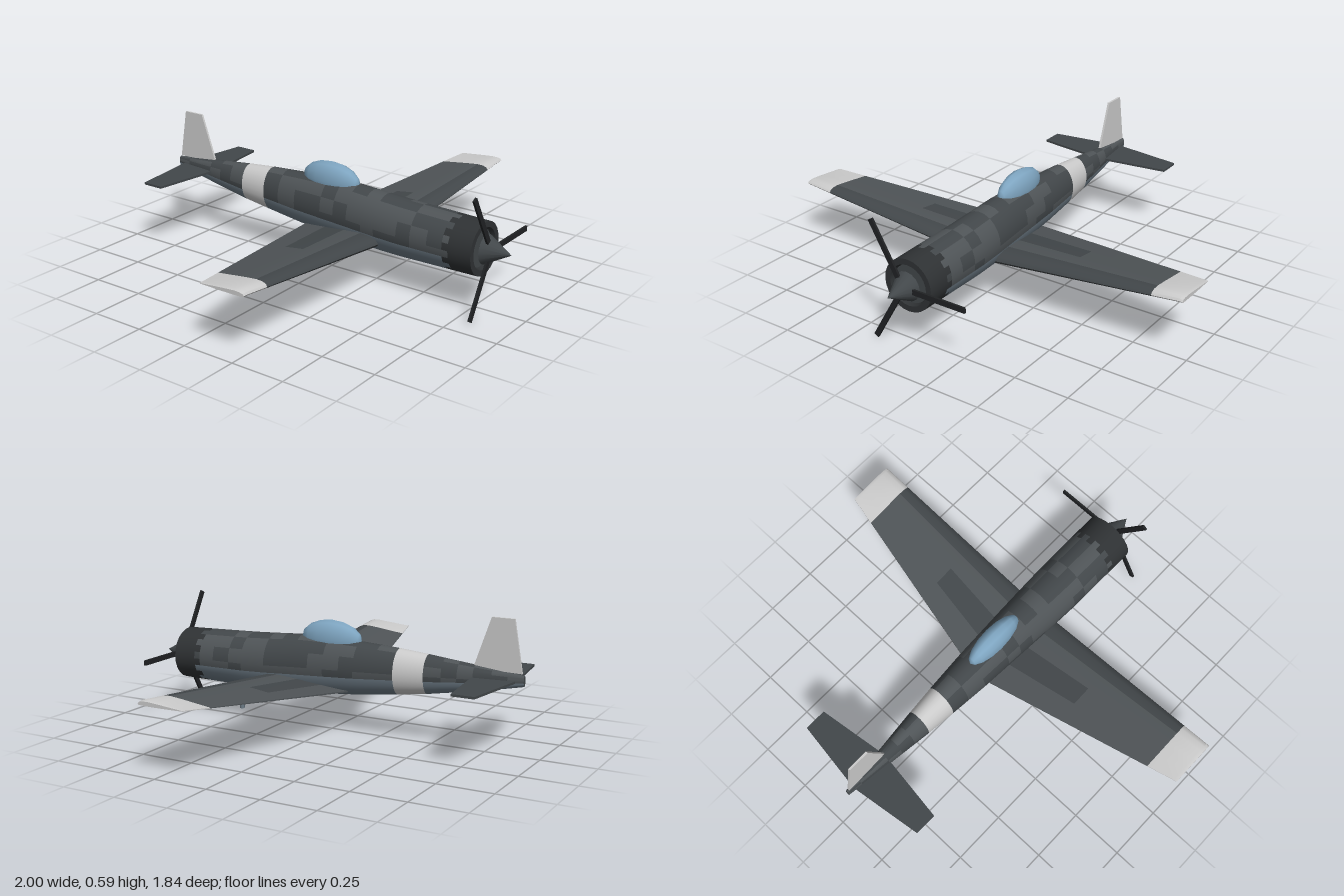
import * as THREE from 'three';
import { toCreasedNormals } from 'three/addons/utils/BufferGeometryUtils.js';

const COLORS = {
  dark: 0x42474a, mid: 0x4f5457, cowl: 0x2f3234, belly: 0x6d7b86,
  light: 0xc9c8c5, glass: 0x7fa6c2, black: 0x202224,
};
const materials = {};
const mat = (key) => (materials[key] ??= new THREE.MeshStandardMaterial({ color: COLORS[key] }));

function part(parent, name, geometry, key) {
  const mesh = new THREE.Mesh(geometry, mat(key));
  mesh.name = name;
  parent.add(mesh);
  return mesh;
}

// Closed loft through rings of points; paint(i, j) names the colour of each panel,
// and every colour becomes its own mesh with normals shared across the seams.
function loft(name, rings, paint, capStart, capEnd) {
  const tris = [];
  const n = rings[0].length;
  const add = (key, a, b, c) => tris.push({ key, p: [a, b, c] });
  for (let i = 0; i < rings.length - 1; i++) {
    for (let j = 0; j < n; j++) {
      const k = (j + 1) % n, key = paint(i, j);
      add(key, rings[i][j], rings[i][k], rings[i + 1][k]);
      add(key, rings[i][j], rings[i + 1][k], rings[i + 1][j]);
    }
  }
  const mid = (r) => r.reduce((s, v) => s.add(v), new THREE.Vector3()).divideScalar(n);
  const first = rings[0], last = rings[rings.length - 1], c0 = mid(first), c1 = mid(last);
  for (let j = 0; j < n; j++) {
    const k = (j + 1) % n;
    add(capStart, c0, first[k], first[j]);
    add(capEnd, c1, last[j], last[k]);
  }
  // Turn the whole shell outward if its signed volume is negative
  const volume = tris.reduce((s, { p }) => s + p[0].dot(p[1].clone().cross(p[2])), 0);
  if (volume < 0) tris.forEach((t) => t.p.reverse());

  let geo = new THREE.BufferGeometry().setFromPoints(tris.flatMap((t) => t.p));
  geo = toCreasedNormals(geo, 0.75);
  const group = new THREE.Group();
  group.name = name;
  for (const key of new Set(tris.map((t) => t.key))) {
    const sub = new THREE.BufferGeometry();
    for (const attr of ['position', 'normal']) {
      const src = geo.attributes[attr].array, out = [];
      tris.forEach((t, i) => { if (t.key === key) out.push(...src.slice(i * 9, i * 9 + 9)); });
      sub.setAttribute(attr, new THREE.Float32BufferAttribute(out, 3));
    }
    part(group, `${name} ${key} panels`, sub, key);
  }
  return group;
}

// Fuselage outline: z, bottom, top, half width
const BODY = [
  [0.79, 0.162, 0.402, 0.12], [0.42, 0.156, 0.415, 0.117], [0.3, 0.157, 0.422, 0.112],
  [0.15, 0.162, 0.432, 0.104], [0, 0.171, 0.432, 0.096], [-0.15, 0.184, 0.427, 0.088],
  [-0.34, 0.208, 0.416, 0.073], [-0.48, 0.227, 0.404, 0.06], [-0.7, 0.266, 0.382, 0.036],
  [-0.85, 0.296, 0.366, 0.018], [-0.92, 0.311, 0.359, 0.01],
];

function bodyAt(z) {
  let i = 0;
  while (i < BODY.length - 2 && z < BODY[i + 1][0]) i++;
  const a = BODY[i], b = BODY[i + 1], t = (a[0] - z) / (a[0] - b[0]);
  return a.map((v, k) => v + (b[k] - v) * t);
}

function bodyRing(z, scale = 1, zShift = 0) {
  const [, bottom, top, w] = bodyAt(z), N = 24;
  return Array.from({ length: N }, (_, j) => {
    const a = (j / N) * Math.PI * 2;
    return new THREE.Vector3(Math.cos(a) * w * scale,
      (top + bottom) / 2 + Math.sin(a) * (top - bottom) / 2 * scale, z + zShift);
  });
}

const patch = (i, j) => (Math.abs(Math.sin(i * 12.99 + j * 78.23) * 43758.5) % 1) > 0.5;

function makeFuselage() {
  const zs = [0.79, 0.72, 0.68, 0.65, 0.575, 0.49, 0.42, 0.3, 0.23, 0.15, 0.075, 0, -0.08,
    -0.15, -0.25, -0.34, -0.48, -0.56, -0.63, -0.7, -0.78, -0.85, -0.92];
  // The first two rings form the recessed cowling mouth
  const rings = [bodyRing(0.79, 0.72, -0.02), bodyRing(0.79, 0.78), ...zs.map((z) => bodyRing(z))];
  return loft('fuselage', rings, (i, j) => {
    const z = zs[i - 2];
    if (i < 2 || z > 0.7) return 'cowl';
    if (z > 0.66 && j % 2) return 'cowl';
    if (z === -0.34) return 'light';
    if (j >= 13 && j <= 22) return 'belly';
    return patch(i, Math.floor(j / 2)) ? 'mid' : 'dark';
  }, 'dark', 'dark');
}

// Wing section: chord fraction from the leading edge, height fraction
const AIRFOIL = [[0, 0.35], [0.025, 0.72], [0.1, 0.96], [0.22, 1], [0.45, 0.8], [0.72, 0.5],
  [1, 0.2], [1, 0.08], [0.6, 0], [0.25, 0], [0.03, 0.08]];

function makeWing(side) {
  const rings = [0, 0.43, 0.86, 0.985, 1].map((x) => {
    const chord = 0.44 - 0.22 * x;
    const thick = (0.055 - 0.03 * x) * (x === 1 ? 0.75 : 1);
    const bottom = 0.19 + 0.112 * x;
    return AIRFOIL.map(([t, h]) =>
      new THREE.Vector3(side * x, bottom + h * thick, 0.32 - t * chord));
  });
  return loft(side > 0 ? 'leftWing' : 'rightWing', rings, (i, j) => {
    if (i > 1) return 'light';
    if (j > 6 && j < 10) return 'belly';
    return j < 3 || j === 10 || (i === 0 && j === 4) ? 'dark' : 'mid';
  }, 'dark', 'light');
}

// Thin flat surface cut from a 2D outline
function plate(points, thickness) {
  const shape = new THREE.Shape(points.map(([x, y]) => new THREE.Vector2(x, y)));
  return new THREE.ExtrudeGeometry(shape, { depth: thickness, bevelEnabled: false })
    .translate(0, 0, -thickness / 2);
}

export function createModel() {
  const plane = new THREE.Group();
  plane.name = 'propellerPlane';
  plane.add(makeFuselage(), makeWing(1), makeWing(-1));

  // Canopy: stretched bubble with its poles fore and aft
  const canopy = new THREE.SphereGeometry(1, 12, 8).rotateX(Math.PI / 2).scale(0.052, 0.085, 0.152);
  part(plane, 'canopy', canopy, 'glass').position.set(0, 0.427, 0);

  // Tail surfaces
  const tail = plate([[0, -0.69], [0.34, -0.735], [0.34, -0.838], [0, -0.885],
    [-0.34, -0.838], [-0.34, -0.735]], 0.01).rotateX(Math.PI / 2);
  part(plane, 'tailplane', tail, 'dark').position.y = 0.328;
  const fin = plate([[0.69, 0.37], [0.91, 0.365], [0.87, 0.595], [0.768, 0.595]], 0.01)
    .rotateY(Math.PI / 2);
  part(plane, 'fin', fin, 'light');

  // Small stubs under the wings
  for (const s of [-1, 1]) {
    const stub = part(plane, s > 0 ? 'leftWingStub' : 'rightWingStub',
      new THREE.CylinderGeometry(0.01, 0.01, 0.06, 10), 'belly');
    stub.position.set(s * 0.48, 0.221, 0.17);
  }

  // Propeller
  const propeller = new THREE.Group();
  propeller.name = 'propeller';
  propeller.position.set(0, 0.282, 0.82);
  plane.add(propeller);
  part(propeller, 'spinner', new THREE.ConeGeometry(0.067, 0.12, 16).rotateX(Math.PI / 2), 'dark')
    .position.z = 0.037;
  part(propeller, 'shaft', new THREE.CylinderGeometry(0.014, 0.014, 0.06, 10).rotateX(Math.PI / 2), 'black')
    .position.z = -0.04;
  for (let i = 0; i < 3; i++) {
    const blade = part(propeller, 'blade',
      new THREE.BoxGeometry(0.285, 0.024, 0.01).translate(0.17, 0, 0), 'black');
    blade.rotation.z = (i * Math.PI * 2) / 3;
  }
  return plane;
}
